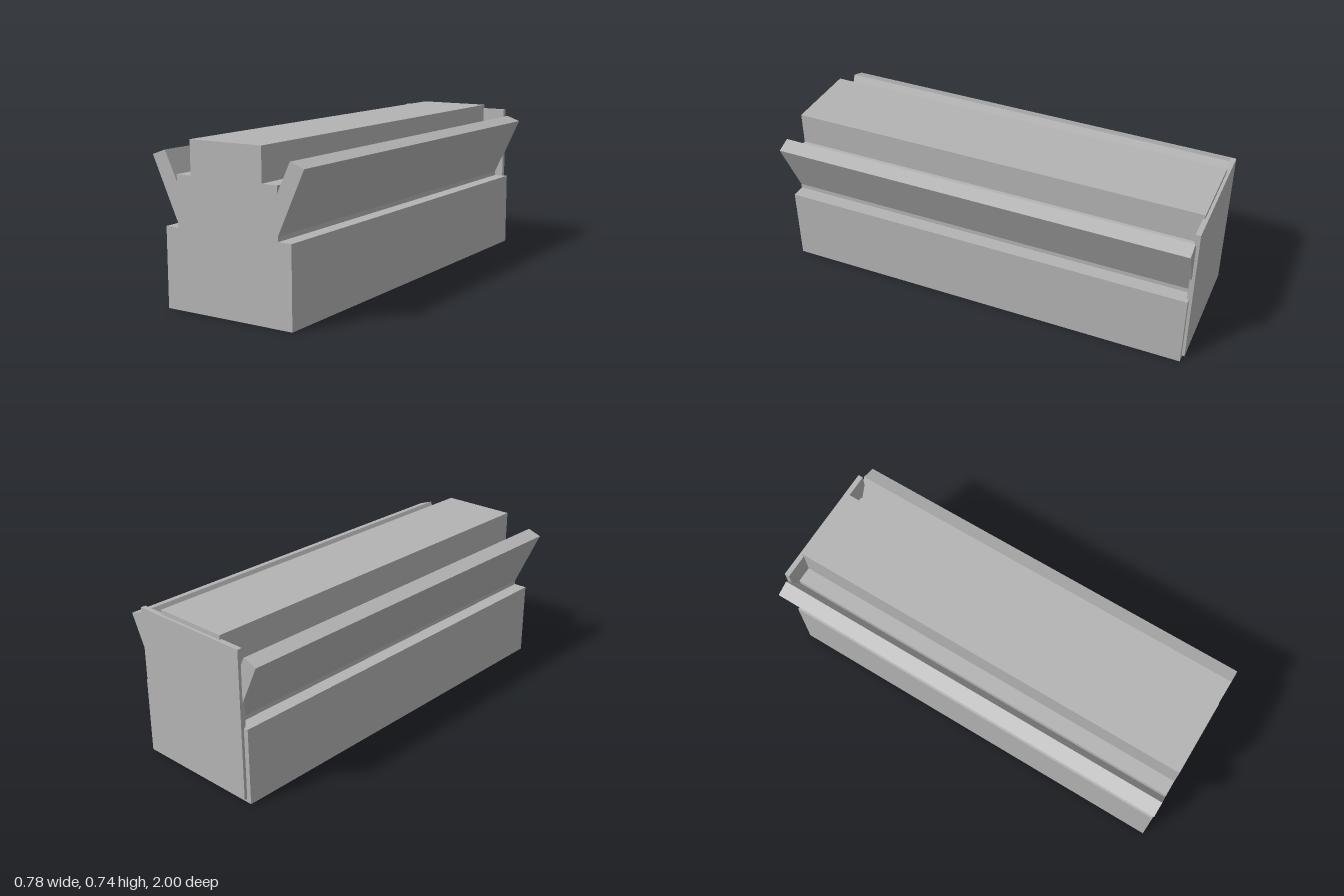
import * as THREE from 'three';

const grey = new THREE.MeshStandardMaterial({ color: 0xb3b3b3 });
grey.name = 'plain grey';

// Right half of the rail's cross-section, from the base up to the crown
const half = [
  [0.326, 0], [0.326, 0.36], [0.26, 0.36], [0.26, 0.381],
  [0.39, 0.662], [0.322, 0.686], [0.26, 0.556], [0.26, 0.587],
  [0.184, 0.587], [0.184, 0.739],
];

export function createModel() {
  const group = new THREE.Group();
  group.name = 'rail';

  // Long body: mirrored cross-section pulled along z
  const mirrored = half.map(([x, y]) => [-x, y]).reverse();
  const outline = [...half, ...mirrored].map(([x, y]) => new THREE.Vector2(x, y));
  const bodyGeometry = new THREE.ExtrudeGeometry(new THREE.Shape(outline), {
    depth: 1.986,
    bevelEnabled: false,
  });
  bodyGeometry.translate(0, 0, -0.986);
  const body = new THREE.Mesh(bodyGeometry, grey);
  body.name = 'railBody';
  group.add(body);

  // Thin plate closing the back end
  const plate = new THREE.Mesh(new THREE.BoxGeometry(0.606, 0.702, 0.024), grey);
  plate.position.set(0, 0.368, -0.988);
  plate.name = 'endPlate';
  group.add(plate);

  return group;
}
